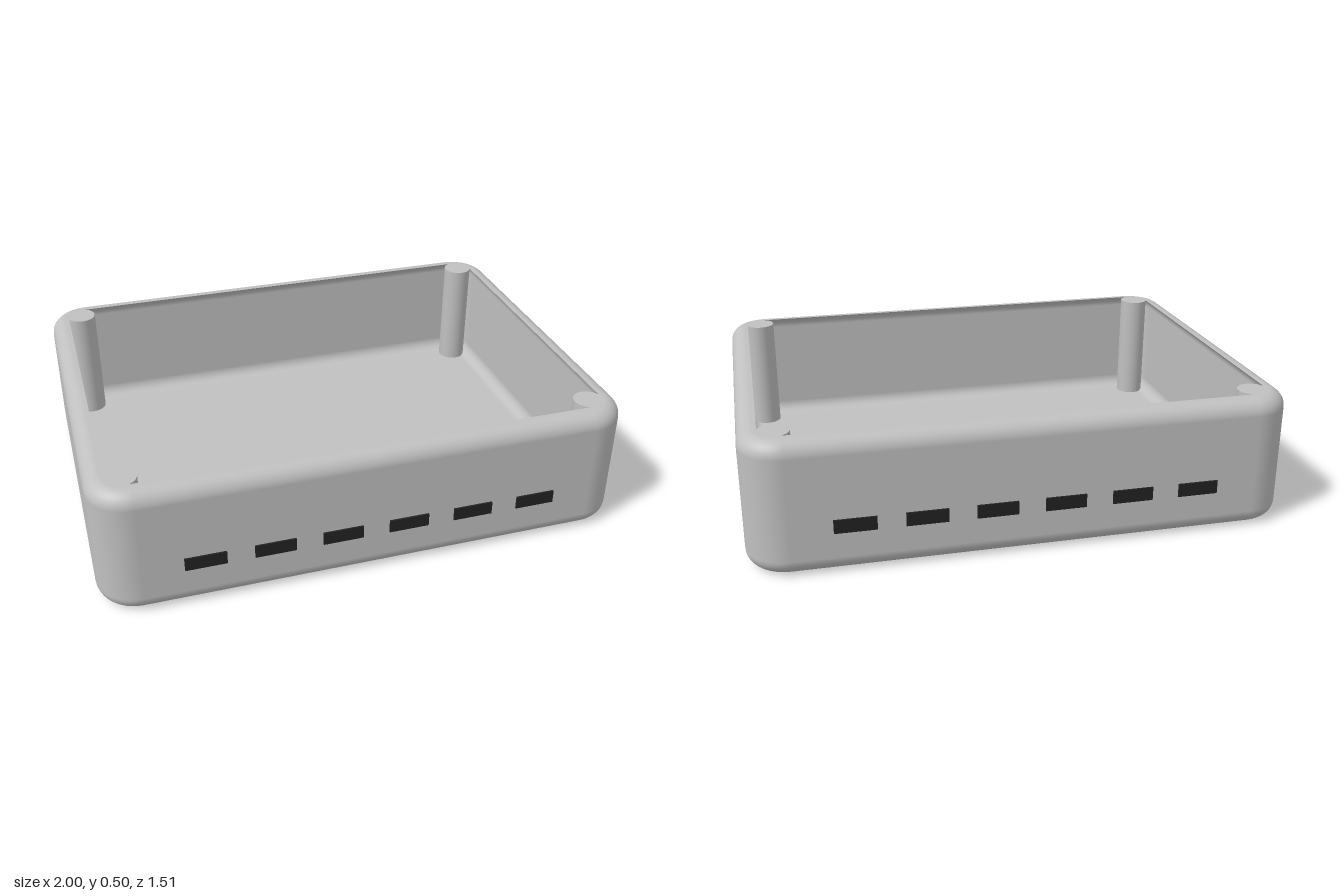
import * as THREE from 'three';

const HALF_X = 1, HALF_Z = 0.75, HEIGHT = 0.5;
const CORNER = 0.15;   // plan corner radius
const EDGE = 0.06;     // outer edge rounding
const WALL = 0.05, INNER = 0.05, LIP = 0.98; // LIP: angle at which the rim cuts the inner curl

// Closed wall section, each step: [inset, y, outward normal, upward normal]
function shellProfile() {
  const rows = [[null, 0, 0, -1]];
  const arc = (from, to, step) => {
    for (let i = 0; i <= 8; i++) {
      const a = from + (to - from) * i / 8;
      rows.push(step(Math.cos(a), Math.sin(a)));
    }
  };
  const q = Math.PI / 2;
  const lipY = HEIGHT - INNER * Math.sin(LIP);
  // bottom edge, top edge
  arc(-q, 0, (c, s) => [EDGE * (1 - c), EDGE + EDGE * s, c, s]);
  arc(0, q, (c, s) => [EDGE * (1 - c), HEIGHT - EDGE + EDGE * s, c, s]);
  // flat rim up to the opening
  rows.push([WALL + INNER * (1 - Math.cos(LIP)), HEIGHT, 0, 1]);
  // inward curl below the rim, then the curve into the floor
  arc(LIP, 0, (c, s) => [WALL + INNER * (1 - c), lipY + INNER * s, -c, -s]);
  arc(0, q, (c, s) => [WALL + INNER * (1 - c), WALL + INNER * (1 - s), -c, s]);
  rows.push([null, WALL, 0, 1]);
  return rows;
}

// Sweep the section around a rounded rectangle; a null inset closes to the centre
function shellGeometry() {
  const rows = shellProfile(), seg = 10, count = 4 * (seg + 1);
  const pos = [], nor = [], idx = [];
  for (const [inset, y, out, up] of rows) {
    for (let k = 0; k < 4; k++) {
      const sx = k === 0 || k === 3 ? 1 : -1, sz = k < 2 ? 1 : -1;
      for (let i = 0; i <= seg; i++) {
        const t = (k + i / seg) * Math.PI / 2;
        const c = Math.cos(t), s = Math.sin(t);
        if (inset === null) pos.push(0, y, 0);
        else {
          const r = CORNER - inset;
          pos.push(sx * (HALF_X - CORNER) + r * c, y, sz * (HALF_Z - CORNER) + r * s);
        }
        nor.push(c * out, up, s * out);
      }
    }
  }
  for (let j = 0; j < rows.length - 1; j++) {
    for (let i = 0; i < count; i++) {
      const n = (i + 1) % count;
      const a = j * count + i, b = j * count + n, c = a + count, d = b + count;
      if (rows[j][0] !== null) idx.push(a, c, b);
      if (rows[j + 1][0] !== null) idx.push(b, c, d);
      else idx.push(b, c, d);
    }
  }
  const g = new THREE.BufferGeometry();
  g.setAttribute('position', new THREE.Float32BufferAttribute(pos, 3));
  g.setAttribute('normal', new THREE.Float32BufferAttribute(nor, 3));
  g.setIndex(idx);
  return g;
}

export function createModel() {
  const model = new THREE.Group();
  model.name = 'enclosureBase';
  const grey = new THREE.MeshStandardMaterial({ color: 0xc0c0c0 });
  grey.name = 'light grey';
  const black = new THREE.MeshStandardMaterial({ color: 0x222222 });
  black.name = 'near black';

  const add = (name, geometry, material, x, y, z) => {
    const mesh = new THREE.Mesh(geometry, material);
    mesh.name = name;
    mesh.position.set(x, y, z);
    model.add(mesh);
  };

  add('shell', shellGeometry(), grey, 0, 0, 0);

  // Screw posts in the corners, flush with the rim
  const postHeight = HEIGHT - WALL + 0.01;
  const post = new THREE.CylinderGeometry(0.058, 0.058, postHeight, 32);
  for (const sx of [-1, 1]) for (const sz of [-1, 1]) {
    add('screwPost', post, grey, sx * 0.875, HEIGHT - postHeight / 2, sz * 0.625);
  }

  // Vent slots along the front and back
  const slot = new THREE.BoxGeometry(0.15, 0.05, 0.009);
  for (const sz of [-1, 1]) for (let i = 0; i < 6; i++) {
    add(sz > 0 ? 'frontVent' : 'backVent', slot, black, -0.625 + i * 0.25, 0.18, sz * 0.7525);
  }
  return model;
}
